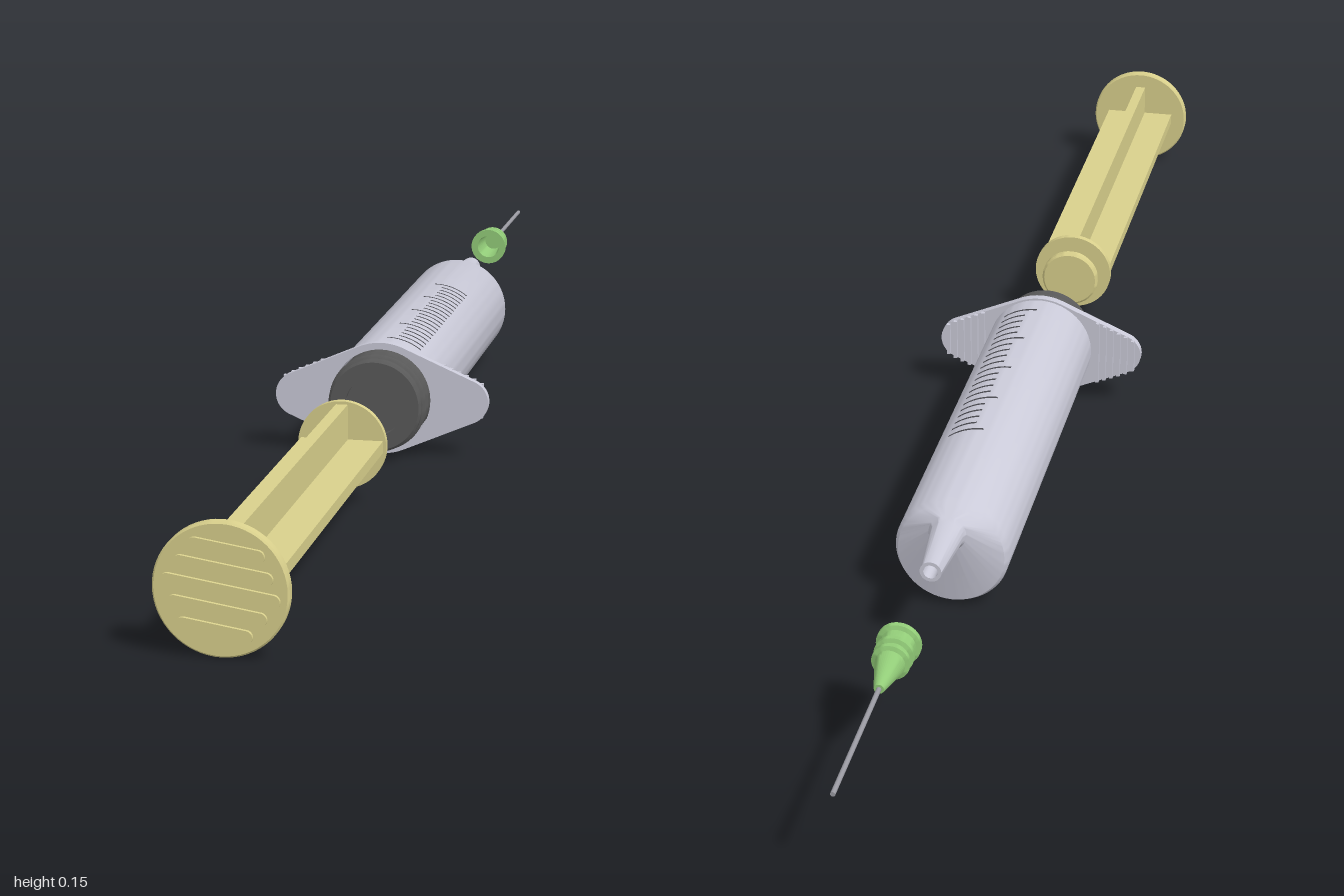
import * as THREE from 'three';
import { toCreasedNormals, mergeVertices } from 'three/addons/utils/BufferGeometryUtils.js';

const AXIS = 0.075;      // height of the barrel and plunger axis
const TIP = 0.114;       // height of the off-centre nozzle and needle
const R = 0.0725;        // barrel radius

const material = (color) => new THREE.MeshStandardMaterial({ color, side: THREE.DoubleSide });

function add(group, name, geometry, mat, x = 0, y = 0, z = 0) {
  const mesh = new THREE.Mesh(geometry, mat);
  mesh.name = name;
  mesh.position.set(x, y, z);
  group.add(mesh);
  return mesh;
}

// Solid of revolution about z from [radius, z] pairs; warp may move its vertices
function turned(points, segments = 64, warp) {
  const geo = new THREE.LatheGeometry(points.map(([r, z]) => new THREE.Vector2(r, z)), segments);
  geo.rotateX(Math.PI / 2);
  if (warp) warp(geo.attributes.position);
  geo.deleteAttribute('uv');
  geo.deleteAttribute('normal');
  return toCreasedNormals(mergeVertices(geo, 1e-5), 0.55);
}

// Rounded bar outline, centred on the origin
function pillShape(length, width) {
  const r = width / 2, h = length / 2 - r;
  const s = new THREE.Shape();
  s.absarc(h, 0, r, -Math.PI / 2, Math.PI / 2);
  s.absarc(-h, 0, r, Math.PI / 2, Math.PI * 1.5);
  s.closePath();
  return s;
}

function makePlunger() {
  const g = new THREE.Group();
  g.name = 'plunger';
  const yellow = material(0xd9d08c);

  // Thumb disc with raised grip bars
  add(g, 'thumbDisc', turned([[0, 0.982], [0.073, 0.982], [0.075, 0.984], [0.075, 0.994], [0.073, 0.996], [0, 0.996]]), yellow, 0, AXIS);
  const tilt = -0.155;
  [0.085, 0.11, 0.132, 0.11, 0.085].forEach((length, i) => {
    const d = (2 - i) * 0.0225;
    const geo = new THREE.ExtrudeGeometry(pillShape(length, 0.016), { depth: 0.005, bevelEnabled: false, curveSegments: 10 });
    const bar = add(g, 'gripBar', geo, yellow, -Math.sin(tilt) * d, AXIS + Math.cos(tilt) * d, 0.995);
    bar.rotation.z = tilt;
  });

  // Cross-shaped rod
  add(g, 'verticalFin', new THREE.BoxGeometry(0.015, 0.104, 0.595), yellow, 0, AXIS, 0.688);
  add(g, 'horizontalFin', new THREE.BoxGeometry(0.104, 0.015, 0.595), yellow, 0, AXIS, 0.688);

  // End disc and the knob that plugs into the stopper
  add(g, 'endKnob', turned([
    [0, 0.36], [0.038, 0.36], [0.041, 0.363], [0.041, 0.37], [0.033, 0.376],
    [0.033, 0.386], [0.056, 0.386], [0.056, 0.395], [0, 0.395],
  ]), yellow, 0, AXIS);
  return g;
}

function makeStopper() {
  const rubber = material(0x5a5a5a);
  const g = new THREE.Group();
  g.name = 'stopper';
  add(g, 'ribbedStopper', turned([
    [0, 0.1], [0.064, 0.1], [0.064, 0.156], [0.061, 0.16], [0.055, 0.163], [0.055, 0.168],
    [0.063, 0.172], [0.065, 0.177], [0.062, 0.181], [0.058, 0.183], [0.062, 0.187],
    [0.062, 0.195], [0.059, 0.198], [0.039, 0.198], [0.039, 0.188], [0.044, 0.182],
    [0.044, 0.172], [0, 0.172],
  ]), rubber, 0, AXIS);
  return g;
}

function makeBarrel() {
  const g = new THREE.Group();
  g.name = 'barrel';
  const body = material(0xcacad8);
  const ink = material(0x4a4a50);

  // Hollow tube running into an off-centre nozzle
  const profile = [
    [0, -0.47], [0.008, -0.47], [0.009, -0.538], [0.0135, -0.538], [0.021, -0.452], [0.024, -0.446],
    [0.068, -0.428], [R, -0.42], [R, 0.15], [0.066, 0.15], [0.066, -0.41], [0, -0.42],
  ];
  add(g, 'tubeAndNozzle', turned(profile, 72, (pos) => {
    for (let i = 0; i < pos.count; i++) {
      if (pos.getZ(i) < -0.44) pos.setY(i, pos.getY(i) + TIP - AXIS);
    }
  }), body, 0, AXIS);

  // Finger flange: a hull around the tube and two small end circles
  const ex = 0.113, er = 0.03, fr = 0.075;
  const phi = Math.acos((fr - er) / ex);
  const shape = new THREE.Shape();
  shape.absarc(ex, 0, er, -phi, phi);
  shape.absarc(0, 0, fr, phi, Math.PI - phi);
  shape.absarc(-ex, 0, er, Math.PI - phi, Math.PI + phi);
  shape.absarc(0, 0, fr, Math.PI + phi, 2 * Math.PI - phi);
  shape.closePath();
  const bore = new THREE.Path();
  bore.absarc(0, 0, 0.066, 0, Math.PI * 2, true);
  shape.holes.push(bore);
  add(g, 'fingerFlange', new THREE.ExtrudeGeometry(shape, { depth: 0.011, bevelEnabled: false, curveSegments: 28 }), body, 0, AXIS, 0.141);

  // Grip ridges on the back of the flange
  for (const side of [-1, 1]) {
    for (let x = 0.082; x < 0.14; x += 0.01) {
      const line = (fr - Math.cos(phi) * x) / Math.sin(phi);
      const round = x > ex ? Math.sqrt(er * er - (x - ex) ** 2) : 1;
      add(g, 'flangeRidge', new THREE.BoxGeometry(0.005, 2 * Math.min(line, round), 0.006), body, side * x, AXIS, 0.139);
    }
  }

  // Measuring marks wrapped on the top, every fifth one longer
  for (let i = 0; i <= 20; i++) {
    const start = i % 5 === 0 ? -0.01 : 0.17;
    const mark = new THREE.CylinderGeometry(R + 0.0008, R + 0.0008, 0.004, 10, 1, true, start, 0.67 - start);
    mark.rotateX(-Math.PI / 2);
    add(g, 'measuringMark', mark, ink, 0, AXIS, -0.238 + i * 0.0174);
  }
  return g;
}

function makeNeedle() {
  const g = new THREE.Group();
  g.name = 'needle';

  // Hollow hub with collars and a tapered nose
  add(g, 'needleHub', turned([
    [0, -0.795], [0.006, -0.795], [0.008, -0.788], [0.017, -0.748], [0.018, -0.742], [0.023, -0.74],
    [0.023, -0.734], [0.019, -0.732], [0.019, -0.727], [0.024, -0.725], [0.024, -0.719], [0.02, -0.716],
    [0.022, -0.704], [0.027, -0.702], [0.027, -0.695], [0.017, -0.695], [0.013, -0.745], [0, -0.745],
  ], 40), material(0x92cc78), 0, TIP);

  const shaft = new THREE.CylinderGeometry(0.003, 0.003, 0.21, 16);
  shaft.rotateX(Math.PI / 2);
  add(g, 'needleShaft', shaft, material(0x9a9aa2), 0, TIP, -0.895);
  return g;
}

export function createModel() {
  const model = new THREE.Group();
  model.name = 'syringe';
  model.add(makePlunger(), makeStopper(), makeBarrel(), makeNeedle());
  return model;
}
